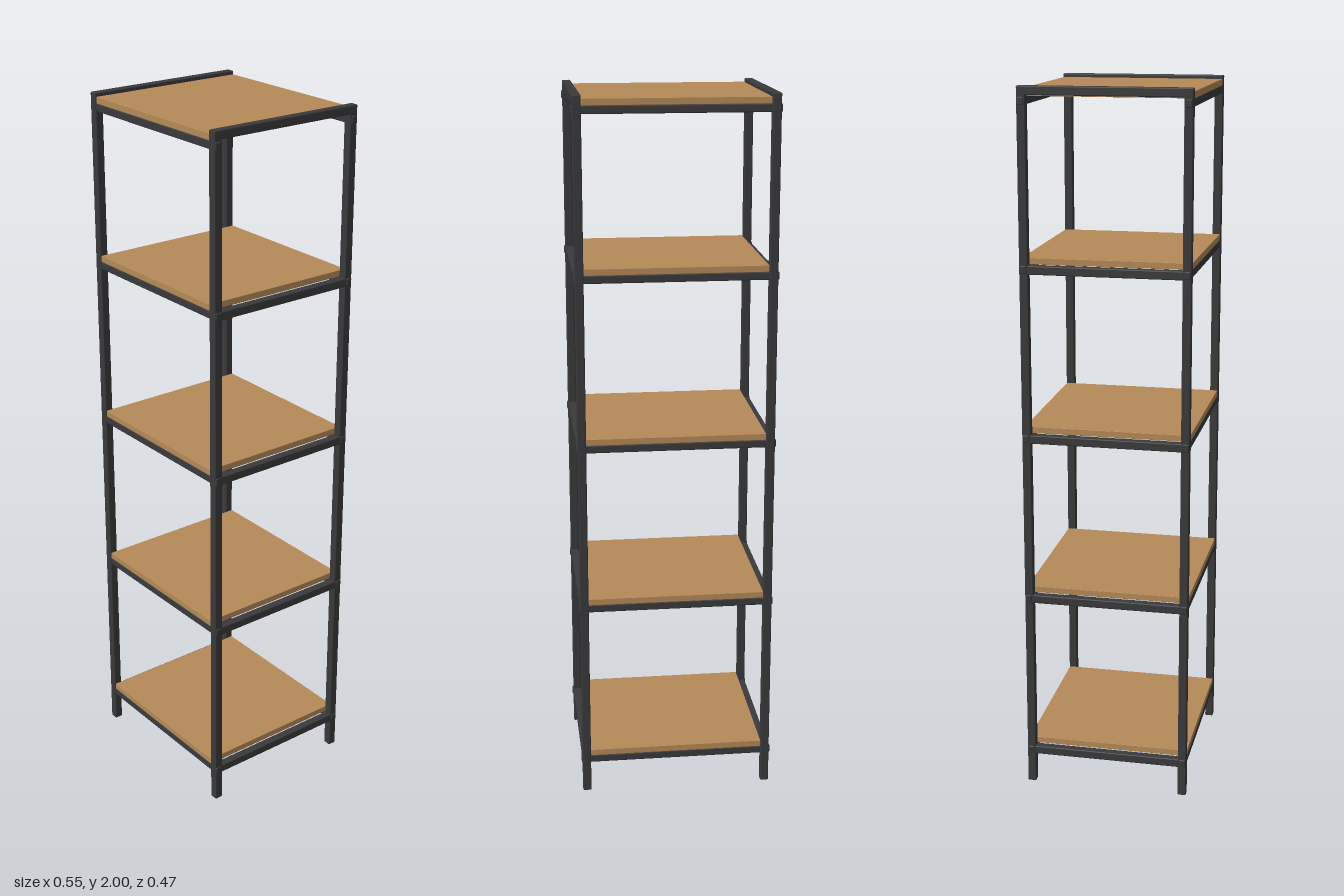
import * as THREE from 'three';
import { RoundedBoxGeometry } from 'three/addons/geometries/RoundedBoxGeometry.js';

export function createModel() {
  const model = new THREE.Group();
  model.name = 'shelfUnit';

  const metal = new THREE.MeshStandardMaterial({ color: 0x3a3a3c });
  metal.name = 'darkMetal';
  const wood = new THREE.MeshStandardMaterial({ color: 0xb58a58 });
  wood.name = 'wood';

  const add = (name, material, [w, h, d], [x, y, z], radius = 0.003) => {
    const mesh = new THREE.Mesh(new RoundedBoxGeometry(w, h, d, 2, radius), material);
    mesh.name = name;
    mesh.position.set(x, y, z);
    model.add(mesh);
  };

  const sides = [-1, 1];
  const postX = 0.262, postZ = 0.222, tube = 0.024;

  // Four corner posts
  for (const sx of sides) for (const sz of sides) {
    add('post', metal, [tube, 2, tube], [sx * postX, 1, sz * postZ]);
  }

  // Shelves: a board resting on a frame of tubes
  const boardTops = [0.13, 0.602, 1.074, 1.546, 1.99];
  boardTops.forEach((top, i) => {
    const isTop = i === boardTops.length - 1;
    add('shelfBoard', wood, [0.498, 0.018, 0.464], [0, top - 0.009, 0], 0.001);
    const railY = top - 0.018 - 0.011;
    for (const s of sides) {
      // Long rails, their ends showing just outside the posts
      add('crossRail', metal, [0.554, 0.022, 0.018], [0, railY, s * 0.223]);
      // Side rails; the highest pair closes the tops of the posts
      const y = isTop ? 2 - tube / 2 : railY - 0.001;
      add('sideRail', metal, [tube, tube, 0.466], [s * postX, y, 0]);
    }
  });

  return model;
}
